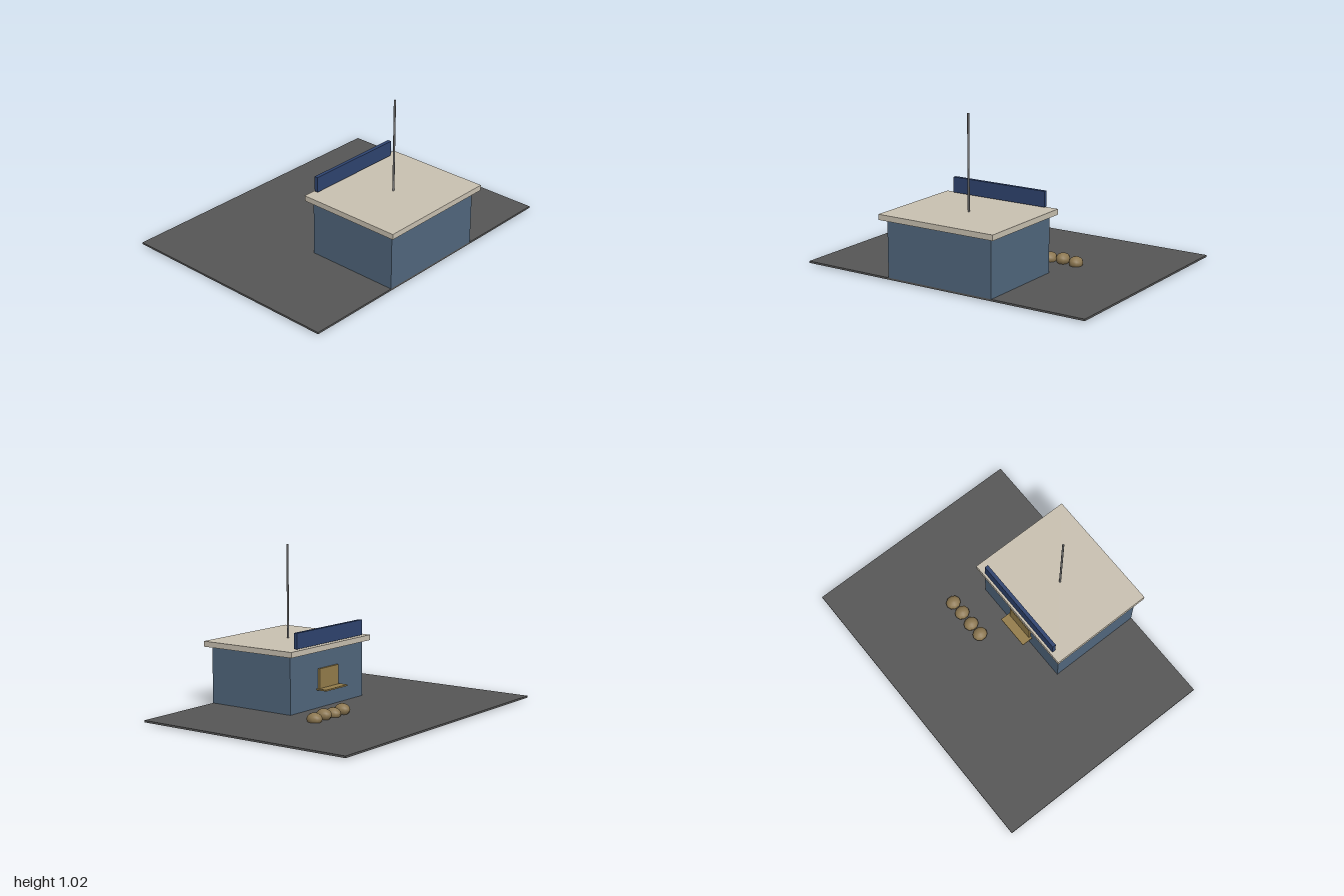
import * as THREE from 'three';

const mat = (name, color) => {
  const m = new THREE.MeshStandardMaterial({ color });
  m.name = name;
  return m;
};

export function createModel() {
  const group = new THREE.Group();
  const asphalt = mat('asphalt', 0x555555);
  const wallBlue = mat('wallBlue', 0x50667c);
  const cream = mat('cream', 0xc8c0b0);
  const navy = mat('navy', 0x2e436e);
  const tan = mat('tan', 0x937c4a);
  const sackTan = mat('sackTan', 0x8b7650);
  const metal = mat('metal', 0x777777);

  const add = (name, geometry, material, x, y, z) => {
    const mesh = new THREE.Mesh(geometry, material);
    mesh.name = name;
    mesh.position.set(x, y, z);
    group.add(mesh);
    return mesh;
  };
  // Box given by its x and y limits and its half depth, centred on z = 0
  const box = (name, material, x0, x1, y0, y1, halfZ) =>
    add(name, new THREE.BoxGeometry(x1 - x0, y1 - y0, 2 * halfZ), material,
      (x0 + x1) / 2, (y0 + y1) / 2, 0);

  // Yard and kiosk
  box('yard', asphalt, -0.768, 0.727, 0.008, 0.02, 1);
  box('walls', wallBlue, 0.105, 0.727, 0.02, 0.383, 0.374);
  box('roof', cream, 0.067, 0.765, 0.383, 0.418, 0.411);
  box('signBoard', navy, 0.08, 0.104, 0.425, 0.524, 0.337);

  // Serving hatch with its counter
  box('hatch', tan, 0.09, 0.105, 0.143, 0.268, 0.097);
  box('counter', tan, 0.03, 0.105, 0.134, 0.143, 0.112);

  // Aerial on the roof
  add('aerial', new THREE.CylinderGeometry(0.0065, 0.0065, 0.602, 8), metal, 0.416, 0.717, 0);

  // Row of sacks, alternately a little lower and higher
  const sack = new THREE.SphereGeometry(1, 10, 8).scale(0.05, 0.038, 0.045);
  for (let i = 0; i < 4; i++) {
    add('sack', sack, sackTan, -0.12, i % 2 ? 0.047 : 0.038, -0.428 + i * 0.094);
  }
  return group;
}
